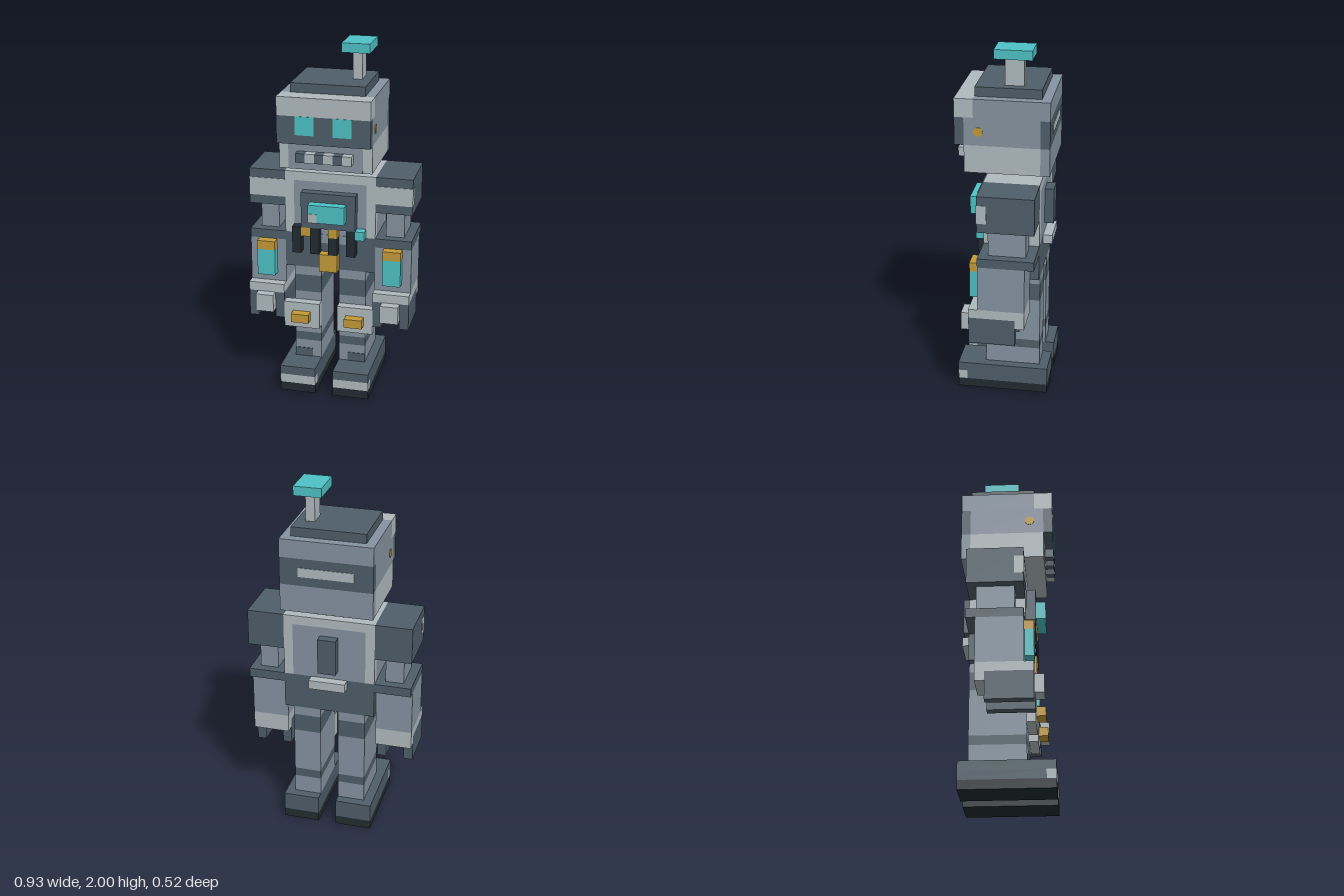
import * as THREE from 'three';

const U = 2 / 39; // one block of the grid

const mat = (name, color) => {
  const m = new THREE.MeshStandardMaterial({ color });
  m.name = name;
  return m;
};

export function createModel() {
  const dark = mat('darkSteel', 0x4e5e69);
  const slate = mat('slate', 0x8593a1);
  const light = mat('lightGrey', 0xb0bbbf);
  const black = mat('rubberBlack', 0x212b31);
  const cyan = mat('cyanGlow', 0x4ec2c5);
  const gold = mat('gold', 0xc49a38);

  const model = new THREE.Group();
  model.name = 'robot';

  const group = (name) => {
    const g = new THREE.Group();
    g.name = name;
    model.add(g);
    return g;
  };

  // Box given by its ranges in blocks
  const box = (parent, name, m, [x0, x1], [y0, y1], [z0, z1]) => {
    const geo = new THREE.BoxGeometry(Math.abs(x1 - x0) * U, (y1 - y0) * U, (z1 - z0) * U);
    const mesh = new THREE.Mesh(geo, m);
    mesh.position.set((x0 + x1) / 2 * U, (y0 + y1) / 2 * U, (z0 + z1) / 2 * U);
    mesh.name = name;
    parent.add(mesh);
    return mesh;
  };
  const T = 0.06; // painted plate thickness in blocks

  // Legs and arms, mirrored
  for (const [side, s] of [['left', 1], ['right', -1]]) {
    const leg = group(side + 'Leg');
    const L = (name, m, x, y, z) => box(leg, name, m, [x[0] * s, x[1] * s], y, z);
    L('sole', black, [1, 5], [0, 1], [-5, 5]);
    L('footSide', dark, [1, 5], [1, 2], [-5, 4]);
    L('toeStripe', light, [1, 5], [1, 2], [4, 5]);
    L('footTop', dark, [1, 5], [2, 3], [-5, 5]);
    for (const [name, m, y0, y1] of [
      ['ankle', slate, 3, 5], ['shinBand', dark, 5, 6], ['shin', slate, 6, 11],
      ['thighBand', dark, 11, 13], ['thigh', slate, 13, 14],
    ]) L(name, m, [1, 4], [y0, y1], [-4, 2]);
    L('anklePatch', dark, [2, 4], [3, 4], [2, 2 + T]);
    L('kneePlate', light, [1, 5], [7, 10], [2, 3]);
    L('kneeStud', gold, [2, 4], [8, 9], [3, 4]);

    const arm = group(side + 'Arm');
    const A = (name, m, x, y, z) => box(arm, name, m, [x[0] * s, x[1] * s], y, z);
    A('shoulder', dark, [5, 9], [21, 25], [-4, 2]);
    A('shoulderStripe', light, [5, 9], [22, 24], [2, 2 + T]);
    A('shoulderStripeSide', light, [9, 9 + T / 2], [22, 24], [1, 2]);
    A('upperArm', slate, [6, 8], [18, 21], [-3, 1]);
    A('elbowCuff', dark, [5, 9], [17, 18], [-4, 2]);
    A('forearm', slate, [5, 9], [12, 17], [-3, 2]);
    A('forearmScreen', cyan, [6, 8], [13, 16], [2, 3]);
    A('forearmCap', gold, [6, 8], [16, 17], [2, 3]);
    A('wrist', light, [5, 9], [11, 12], [-3, 3]);
    A('wristBack', light, [5, 9], [10, 11], [-3, -2]);
    A('palm', light, [6, 8], [10, 11], [-2, 3]);
    A('thumb', light, [6, 8], [9, 11], [3, 4]);
    A('outerClaw', dark, [8, 9], [8, 11], [-2, 3]);
    A('innerClaw', dark, [5, 6], [8, 11], [-2, 3]);
  }

  // Torso
  const torso = group('torso');
  box(torso, 'pelvis', dark, [-5, 5], [14, 18], [-4, 2]);
  box(torso, 'chestCore', slate, [-4, 4], [18, 24], [-4, 2]);
  box(torso, 'collar', light, [-5, 5], [24, 25], [-4, 2]);
  for (const s of [1, -1]) {
    const x = [4 * s, 5 * s];
    box(torso, 'chestSide', slate, x, [18, 24], [-3, 1]);
    box(torso, 'frontFrame', light, x, [18, 24], [1, 2]);
    box(torso, 'backFrame', light, x, [18, 24], [-4, -3]);
  }
  box(torso, 'chestPanel', dark, [-3, 3], [19, 23], [2, 3]);
  box(torso, 'chestScreen', cyan, [-2, 2], [20, 22], [3, 4]);
  box(torso, 'screenGlint', light, [-2, -1], [20, 21], [4, 4 + T]);
  box(torso, 'buckle', gold, [-1, 1], [14, 16], [2, 3]);
  box(torso, 'backBox', dark, [-1, 1], [19, 23], [-5, -4]);
  box(torso, 'backBar', light, [-2, 2], [17, 18], [-5, -4]);

  // Cables and fittings on the belt
  for (const [x, top] of [[-4, 19], [-2, 19], [0, 18], [2, 19]]) {
    box(torso, 'cable', black, [x, x + 1], [16, top], [2, 3]);
  }
  box(torso, 'cableFitting', gold, [-3, -2], [18, 19], [2, 3]);
  box(torso, 'cableFitting', gold, [0, 1], [18, 19], [2, 3]);
  box(torso, 'beltKnob', cyan, [3, 4], [18, 19], [2, 3]);
  for (const x of [-1, 1]) box(torso, 'beltPatch', slate, [x, x + 1], [17, 18], [2, 2 + T]);

  // Head
  const head = group('head');
  box(head, 'neck', dark, [-2, 2], [25, 26], [-3, 1]);
  box(head, 'jaw', light, [-5, 5], [26, 29], [-4, 4]);
  box(head, 'jawBack', slate, [-5, 5], [26, 29], [-5, -4]);
  box(head, 'mouthPlate', slate, [-4, 4], [26, 29], [4, 4 + T]);
  box(head, 'skullMiddle', slate, [-5, 5], [29, 32], [-4, 4]);
  box(head, 'skullTop', slate, [-5, 5], [32, 34], [-5, 3]);
  box(head, 'brow', light, [-5, 5], [32, 34], [3, 5]);
  box(head, 'visor', dark, [-5, 5], [29, 32], [4, 5]);
  box(head, 'rearBand', dark, [-5, 5], [29, 32], [-5, -4]);
  box(head, 'rearSlot', light, [-3, 3], [30, 31], [-5 - T, -5]);
  for (let i = 0; i < 6; i++) {
    box(head, 'tooth', i % 2 ? light : dark, [i - 3, i - 2], [27, 28], [4, 5]);
  }
  for (const s of [1, -1]) {
    box(head, 'eye', cyan, [s, 3 * s], [30, 32], [5, 5 + T]);
    const ear = new THREE.Mesh(new THREE.CylinderGeometry(0.5 * U, 0.5 * U, 2 * T * U, 12), gold);
    ear.rotation.z = Math.PI / 2;
    ear.position.set(5 * s * U, 30.5 * U, 2.5 * U);
    ear.name = 'earBolt';
    head.add(ear);
  }
  box(head, 'crownPlate', dark, [-4, 4], [34, 35], [-4, 3]);

  // Antenna
  const antenna = group('antenna');
  box(antenna, 'antennaPost', light, [2, 3], [35, 38], [-2, 0]);
  box(antenna, 'antennaCap', cyan, [1, 4], [38, 39], [-3, 1]);

  return model;
}
